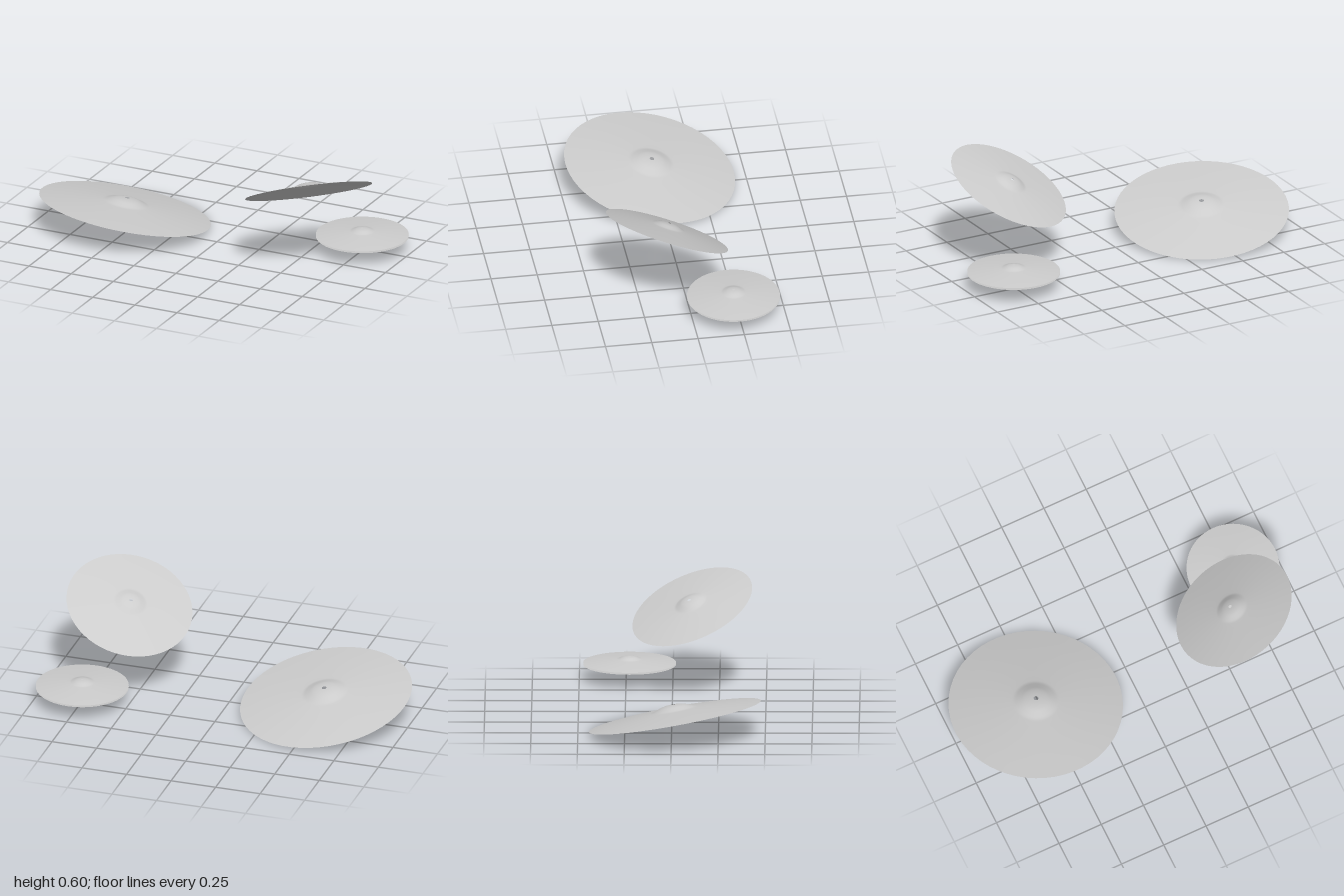
import * as THREE from 'three';

// Unit-radius cymbal section, from the rim up the bow to the bell and its centre hole
const bow = [[1, 0], [0.8, 0.024], [0.6, 0.045], [0.42, 0.062], [0.3, 0.073], [0.25, 0.08],
  [0.2, 0.098], [0.14, 0.12], [0.08, 0.132], [0.027, 0.136]];

function cymbalGeometry() {
  const curve = new THREE.SplineCurve(bow.map(([r, y]) => new THREE.Vector2(r, y)));
  return new THREE.LatheGeometry(curve.getPoints(36), 56);
}

export function createModel() {
  const group = new THREE.Group();
  const geometry = cymbalGeometry();
  const material = new THREE.MeshStandardMaterial({ color: 0xcccccc, side: THREE.DoubleSide });
  const up = new THREE.Vector3(0, 1, 0);

  // Each cymbal is placed by the centre of its rim and the direction its bell points
  function addCymbal(name, radius, centre, axis) {
    const mesh = new THREE.Mesh(geometry, material);
    mesh.name = name;
    mesh.scale.setScalar(radius);
    mesh.position.set(...centre);
    mesh.quaternion.setFromUnitVectors(up, new THREE.Vector3(...axis).normalize());
    group.add(mesh);
  }

  addCymbal('rideCymbal', 0.466, [-0.537, 0.104, 0.018], [0.117, 0.976, -0.181]);
  addCymbal('crashCymbal', 0.342, [0.595, 0.438, 0.104], [-0.311, 0.88, -0.353]);
  // Hi-hat pair, rims facing each other
  addCymbal('hiHatTop', 0.248, [0.75, 0.097, -0.231], [0, 1, 0]);
  addCymbal('hiHatBottom', 0.248, [0.75, 0.087, -0.231], [0, -1, 0]);

  return group;
}
